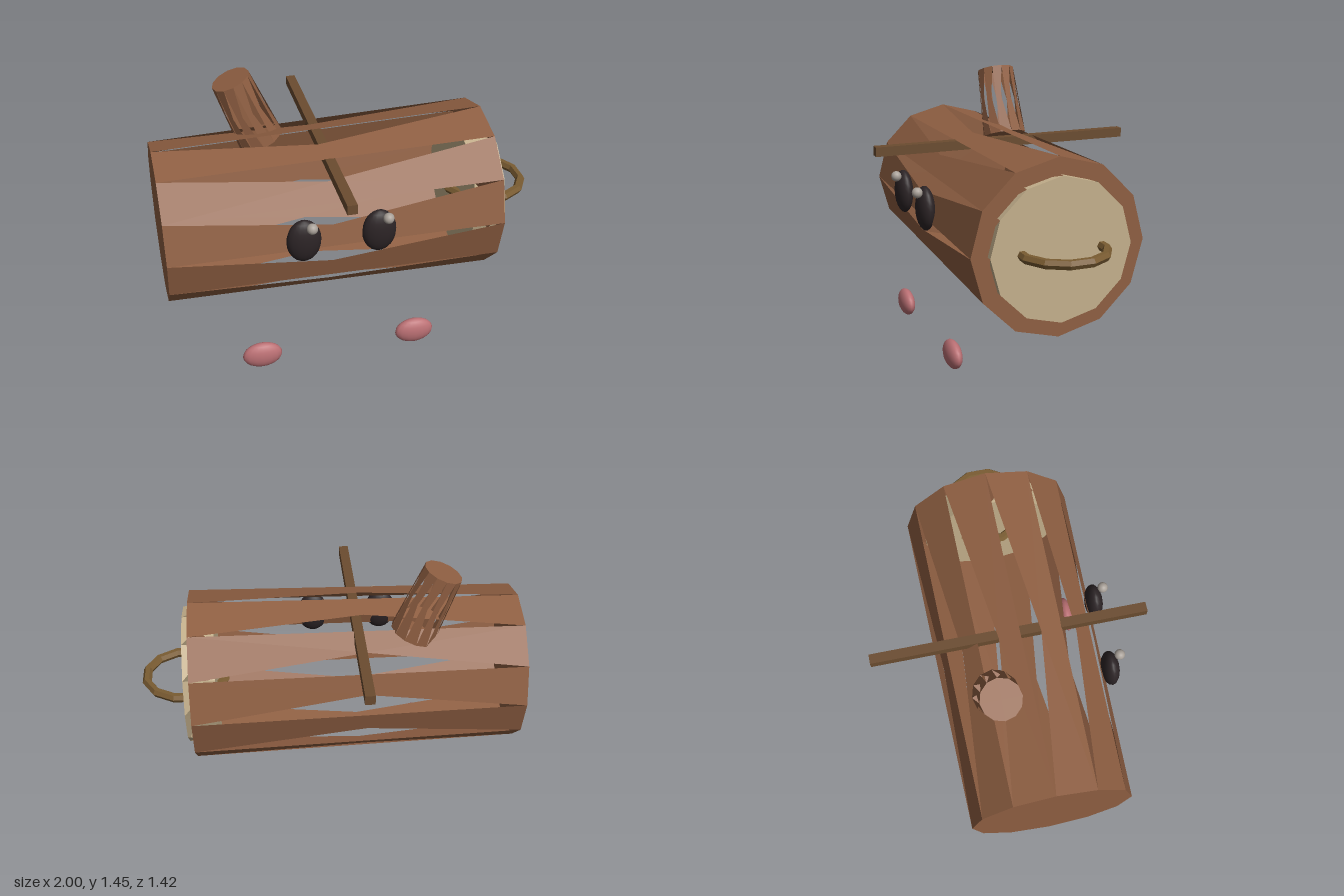
import * as THREE from 'three';

const mat = (color, flatShading = false) =>
  new THREE.MeshStandardMaterial({ color, flatShading, side: THREE.DoubleSide });
const bark = mat(0x8f5f42, true);
const cutWood = mat(0xc4b08c, true);
const stick = mat(0x6b4c30, true);
const brass = mat(0x7a5c32, true);
const dark = mat(0x2c2426);
const shine = mat(0xa8a098);
const pink = mat(0xbb7074);

const SIDES = 12;

// Closed-ended drum along y whose staves are notched along one edge
function notchedDrum(rTop, rBottom, height) {
  const pos = [];
  const pt = (r, a, y) => new THREE.Vector3(r * Math.sin(a), y, r * Math.cos(a));
  const tri = (...v) => v.forEach((p) => pos.push(p.x, p.y, p.z));
  const h = height / 2;
  const step = (Math.PI * 2) / SIDES;
  const topCentre = new THREE.Vector3(0, h, 0);
  const bottomCentre = new THREE.Vector3(0, -h, 0);
  for (let i = 0; i < SIDES; i++) {
    const a = i * step, b = a + step;
    const ta = pt(rTop, a, h), tb = pt(rTop, b, h);
    const ba = pt(rBottom, a, -h), bb = pt(rBottom, b, -h);
    // notch tip lies where the stave's diagonals cross
    const m = ta.clone().lerp(bb, rTop / (rTop + rBottom));
    tri(ta, m, tb);
    tri(ta, ba, m);
    tri(ba, bb, m);
    tri(topCentre, ta, tb);
    tri(bottomCentre, bb, ba);
  }
  const g = new THREE.BufferGeometry();
  g.setAttribute('position', new THREE.Float32BufferAttribute(pos, 3));
  g.computeVertexNormals();
  return g;
}

export function createModel() {
  const model = new THREE.Group();
  const add = (name, geometry, material, x, y, z) => {
    const mesh = new THREE.Mesh(geometry, material);
    mesh.name = name;
    mesh.position.set(x, y, z);
    model.add(mesh);
    return mesh;
  };
  const ball = (name, material, x, y, z, rx, ry, rz) =>
    add(name, new THREE.SphereGeometry(1, 16, 12), material, x, y, z).scale.set(rx, ry, rz);

  // Log body lying along x, with a pale cut face at its left end
  add('logBody', notchedDrum(0.415, 0.45, 1.73), bark, -0.135, 0.735, 0.05).rotation.z = Math.PI / 2;
  add('cutFace', notchedDrum(0.365, 0.365, 0.165), cutWood, 0.6825, 0.735, 0.05).rotation.z = Math.PI / 2;

  // Ring handle set halfway into the cut face
  const ring = new THREE.TorusGeometry(0.214, 0.025, 6, 12).rotateZ(Math.PI / 12).rotateX(Math.PI / 2);
  add('ringHandle', ring, brass, 0.767, 0.735, 0.05);

  // Tilted branch stump and the cross stick
  add('branchStump', notchedDrum(0.102, 0.12, 0.38), bark, -0.49, 1.236, -0.125).rotation.z = 0.375;
  add('crossStick', new THREE.BoxGeometry(0.05, 0.05, 1.42), stick, -0.137, 1.085, 0);

  // Eyes with highlights
  for (const x of [-0.329, 0.055]) {
    ball('eye', dark, x, 0.808, 0.504, 0.088, 0.118, 0.047);
    ball('eyeHighlight', shine, x + 0.033, 0.903, 0.554, 0.028, 0.028, 0.028);
  }

  // Small oval feet
  for (const x of [-0.553, 0.28]) ball('foot', pink, x, 0.077, 0.443, 0.105, 0.074, 0.042);

  return model;
}
